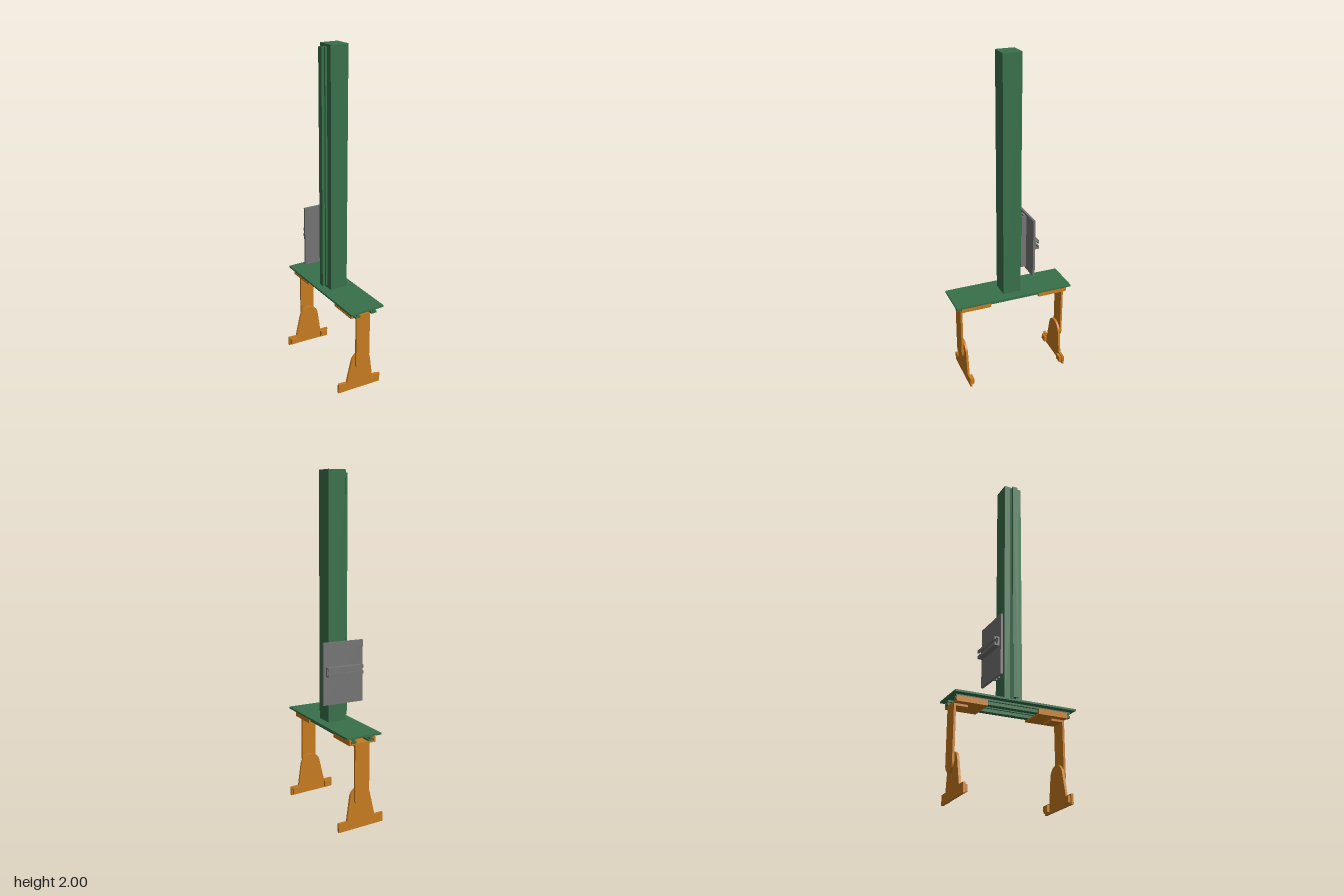
import * as THREE from 'three';

const GREEN = new THREE.MeshStandardMaterial({ color: 0x38704a });
const ORANGE = new THREE.MeshStandardMaterial({ color: 0xc67b20 });
const GREY = new THREE.MeshStandardMaterial({ color: 0x747474 });

function add(parent, name, geometry, material) {
  const mesh = new THREE.Mesh(geometry, material);
  mesh.name = name;
  parent.add(mesh);
  return mesh;
}

// Box given by its min and max on each axis
function box(parent, name, material, [x0, x1], [y0, y1], [z0, z1]) {
  const mesh = add(parent, name, new THREE.BoxGeometry(x1 - x0, y1 - y0, z1 - z0), material);
  mesh.position.set((x0 + x1) / 2, (y0 + y1) / 2, (z0 + z1) / 2);
  return mesh;
}

const polygon = (points) => new THREE.Shape(points.map(([x, y]) => new THREE.Vector2(x, y)));

// Extrusion centred along z
function extrude(shape, depth) {
  const geometry = new THREE.ExtrudeGeometry(shape, { depth, bevelEnabled: false, curveSegments: 24 });
  return geometry.translate(0, 0, -depth / 2);
}

// I-section rail: flanges at top and bottom, a groove in each side
function railShape() {
  const w = 0.017, web = 0.006, g = 0.0055;
  return polygon([
    [-w, -w], [w, -w], [w, -g], [web, -g], [web, g], [w, g],
    [w, w], [-w, w], [-w, g], [-web, g], [-web, -g], [-w, -g],
  ]);
}

// Slotted channel, back at y = 0, open towards +y
function channelShape() {
  const w = 0.027, c = 0.018, s = 0.008;
  return polygon([
    [-w, 0], [w, 0], [w, 0.032], [s, 0.032], [s, 0.024], [c, 0.024], [c, 0.012],
    [-c, 0.012], [-c, 0.024], [-s, 0.024], [-s, 0.032], [-w, 0.032],
  ]);
}

// Strap that hangs down, with a round lower end about the pivot
function legShape() {
  const r = 0.046, shape = new THREE.Shape();
  shape.moveTo(r, 0.317);
  shape.lineTo(-r, 0.317);
  shape.lineTo(-r, 0);
  shape.absarc(0, 0, r, Math.PI, Math.PI * 2, false);
  shape.closePath();
  return shape;
}

// Wide foot with a tapered neck and a round top about the pivot
function footShape() {
  const shape = new THREE.Shape();
  shape.moveTo(-0.145, -0.183);
  shape.lineTo(0.145, -0.183);
  shape.lineTo(0.145, -0.128);
  shape.lineTo(0.09, -0.128);
  shape.absarc(0, 0, 0.065, 0.18, Math.PI - 0.18, false);
  shape.lineTo(-0.09, -0.128);
  shape.lineTo(-0.145, -0.128);
  shape.closePath();
  return shape;
}

// Clamp bracket, leg and pivoting foot; side = 1 at the front, -1 at the back
function makeStand(side) {
  const stand = new THREE.Group();
  const at = (a, b) => {
    const shift = side > 0 ? 0 : 0.0245;
    const p = side * (a + shift), q = side * (b + shift);
    return [Math.min(p, q), Math.max(p, q)];
  };
  const mid = (a, b) => (at(a, b)[0] + at(a, b)[1]) / 2;
  const cx = 0.005;

  // Clamp that grips the grooves of the two rails
  box(stand, 'clampPlate', ORANGE, [cx - 0.085, cx + 0.083], [0.507, 0.516], at(0.143, 0.325));
  for (const s of [-1, 1]) {
    const span = (a, b) => (s > 0 ? [cx + a, cx + b] : [cx - b, cx - a]);
    box(stand, 'clampSide', ORANGE, span(0.074, 0.083), [0.516, 0.54], at(0.143, 0.325));
    box(stand, 'clampLip', ORANGE, span(0.063, 0.074), [0.53, 0.538], at(0.143, 0.325));
  }

  // Bent strap forming the leg
  box(stand, 'legFlange', ORANGE, [cx - 0.046, cx + 0.046], [0.494, 0.507], at(0.243, 0.3245));
  add(stand, 'leg', extrude(legShape(), 0.0125), ORANGE).position.set(cx, 0.19, mid(0.312, 0.3245));

  // Pivot pin between leg and foot
  const pin = add(stand, 'pivotPin', new THREE.CylinderGeometry(0.025, 0.025, 0.01, 24), ORANGE);
  pin.rotation.x = Math.PI / 2;
  pin.position.set(cx, 0.185, mid(0.303, 0.313));

  // Slightly tilted foot with a pad at each end
  const foot = new THREE.Group();
  foot.name = 'foot';
  foot.position.set(cx, 0.19, 0);
  foot.rotation.z = -0.045;
  add(foot, 'footPlate', extrude(footShape(), 0.0135), ORANGE).position.z = mid(0.29, 0.3035);
  for (const s of [-1, 1]) {
    const x = s > 0 ? [0.09, 0.135] : [-0.135, -0.09];
    box(foot, 'footPad', ORANGE, x, [-0.174, -0.136], at(0.275, 0.29));
  }
  stand.add(foot);
  return stand;
}

export function createModel() {
  const model = new THREE.Group();

  // Base plate on two grooved rails
  box(model, 'basePlate', GREEN, [-0.105, 0.115], [0.55, 0.561], [-0.368, 0.366]);
  for (const x of [-0.05, 0.06]) {
    add(model, 'baseRail', extrude(railShape(), 0.7), GREEN).position.set(x, 0.534, 0);
  }

  // Column with a grooved rail along one side
  box(model, 'column', GREEN, [-0.049, 0.061], [0.561, 2], [-0.057, 0.054]);
  const columnRail = add(model, 'columnRail', extrude(railShape(), 1.405), GREEN);
  columnRail.rotation.set(-Math.PI / 2, 0, Math.PI / 2);
  columnRail.position.set(-0.066, 1.283, -0.001);

  // Carriage panel: upright channel facing the column, level channel at the back
  const carriage = new THREE.Group();
  carriage.name = 'carriage';
  box(carriage, 'panel', GREY, [-0.13, 0.127], [0.684, 1.047], [-0.119, -0.106]);
  const upright = add(carriage, 'uprightChannel', extrude(channelShape(), 0.335), GREY);
  upright.rotation.x = Math.PI / 2;
  upright.position.set(-0.002, 0.867, -0.106);
  const level = add(carriage, 'levelChannel', extrude(channelShape(), 0.228), GREY);
  level.rotation.set(-Math.PI / 2, Math.PI / 2, 0);
  level.rotation.order = 'YXZ';
  level.position.set(-0.002, 0.88, -0.119);
  // Profile axes: x -> up, y -> -z, depth -> -x
  level.setRotationFromMatrix(new THREE.Matrix4().makeBasis(
    new THREE.Vector3(0, 1, 0), new THREE.Vector3(0, 0, -1), new THREE.Vector3(-1, 0, 0)));
  model.add(carriage);

  // Front and back stands
  for (const [side, name] of [[1, 'frontStand'], [-1, 'backStand']]) {
    const stand = makeStand(side);
    stand.name = name;
    model.add(stand);
  }
  return model;
}
